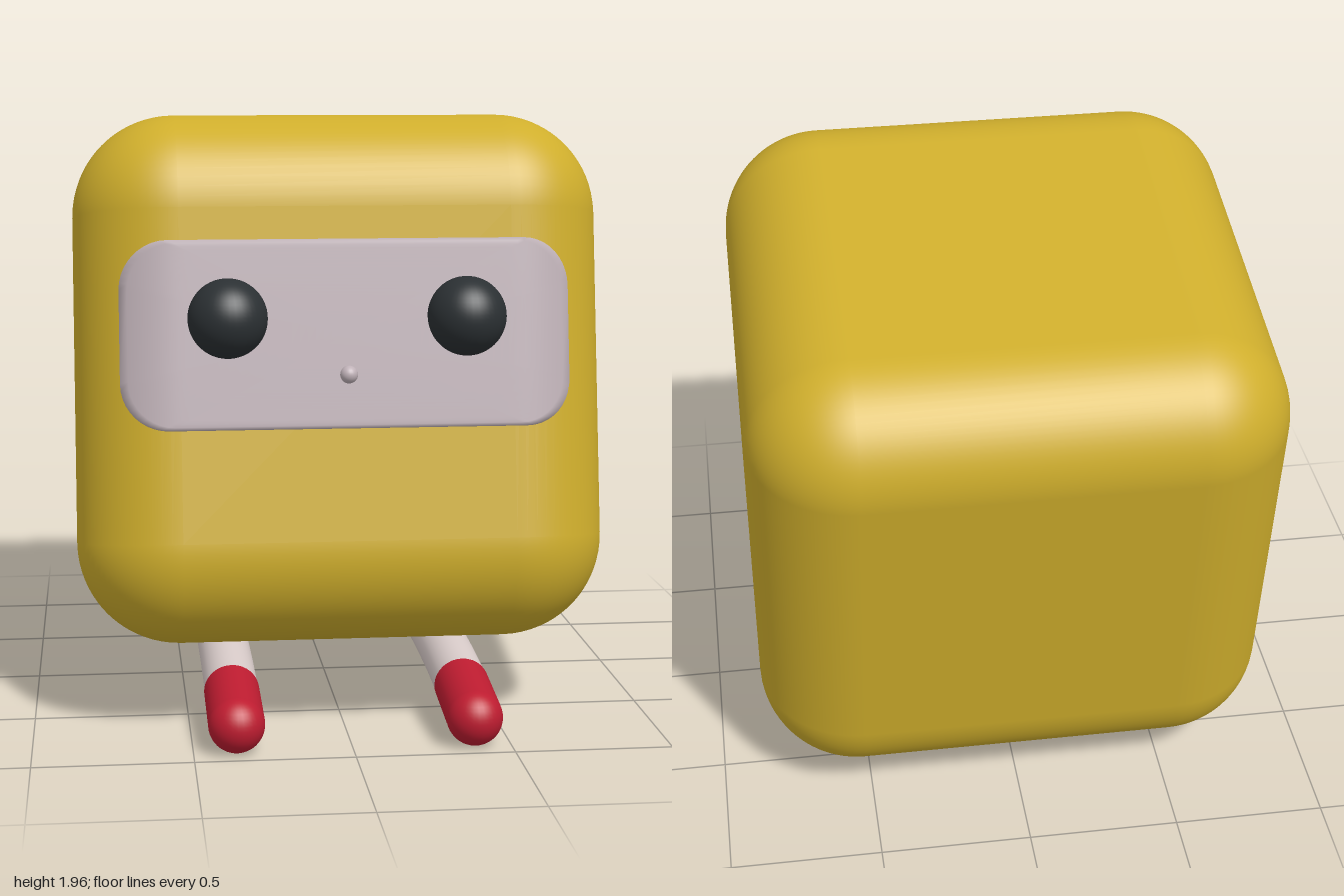
import * as THREE from 'three';
import { RoundedBoxGeometry } from 'three/addons/geometries/RoundedBoxGeometry.js';

const SIZE = 1.706, RADIUS = 0.33, HALF = SIZE / 2;
const material = (color) => new THREE.MeshStandardMaterial({ color });

// Depth of the body's front surface across its rounded sides
function frontDepth(x) {
  const d = Math.max(0, Math.abs(x) - (HALF - RADIUS));
  return HALF - RADIUS + Math.sqrt(RADIUS * RADIUS - d * d);
}

// Rounded rectangle plate wrapped over the body front, with a turned-in rim
function facePlateGeometry(halfW, halfH, corner, rings = 28) {
  const outline = [];
  const corners = [[1, 1], [-1, 1], [-1, -1], [1, -1]];
  corners.forEach(([sx, sy], q) => {
    for (let i = 0; i <= 10; i++) {
      const a = (q + i / 10) * Math.PI / 2;
      outline.push([sx * (halfW - corner) + corner * Math.cos(a), sy * (halfH - corner) + corner * Math.sin(a)]);
    }
  });
  const n = outline.length, pos = [], index = [];
  for (let r = 0; r <= rings + 1; r++) {
    const s = Math.min(r / rings, 1);
    for (const [x, y] of outline) {
      pos.push(x * s, y * s, frontDepth(x * s) + (r > rings ? -0.03 : 0.005));
    }
  }
  for (let r = 0; r <= rings; r++) {
    for (let i = 0; i < n; i++) {
      const a = r * n + i, b = r * n + (i + 1) % n;
      if (r > 0) index.push(a, b + n, b);
      index.push(a, a + n, b + n);
    }
  }
  const g = new THREE.BufferGeometry();
  g.setAttribute('position', new THREE.Float32BufferAttribute(pos, 3));
  g.setIndex(index);
  g.computeVertexNormals();
  return g;
}

export function createModel() {
  const model = new THREE.Group();
  const yellow = material(0xcfae2c), plateGrey = material(0xbfb1b7);
  const black = material(0x2b3033), pale = material(0xd8cbc9), red = material(0xbd1c30);

  const add = (parent, name, geometry, mat, x = 0, y = 0, z = 0) => {
    const mesh = new THREE.Mesh(geometry, mat);
    mesh.name = name;
    mesh.position.set(x, y, z);
    parent.add(mesh);
    return mesh;
  };

  // Body leaning back, with its face plate
  const torso = new THREE.Group();
  torso.name = 'torso';
  torso.position.set(0, 1.02, -0.065);
  torso.rotation.x = -THREE.MathUtils.degToRad(10);
  model.add(torso);
  add(torso, 'body', new RoundedBoxGeometry(SIZE, SIZE, SIZE, 10, RADIUS), yellow);
  add(torso, 'facePlate', facePlateGeometry(0.71, 0.296, 0.15), plateGrey, 0, 0.124, 0);

  // Eyes and nose
  for (const side of [-1, 1]) {
    add(model, side > 0 ? 'leftEye' : 'rightEye', new THREE.SphereGeometry(0.125, 40, 28), black, side * 0.375, 1.34, 0.745);
  }
  add(model, 'nose', new THREE.SphereGeometry(0.028, 24, 16), plateGrey, 0, 1.165, 0.782);

  // Legs reaching forward from under the body, with red feet
  const point = (y, z) => new THREE.Vector3(0, y, z);
  const legPath = new THREE.CatmullRomCurve3([
    point(0.122, 0.66), point(0.141, 0.4), point(0.15, 0.05), point(0.152, -0.3),
  ]);
  const footPath = new THREE.LineCurve3(point(0.089, 0.911), point(0.122, 0.655));
  for (const [name, x] of [['left', 0.385], ['right', -0.365]]) {
    const leg = new THREE.Group();
    leg.name = name + 'Leg';
    leg.position.x = x;
    model.add(leg);
    add(leg, 'shin', new THREE.TubeGeometry(legPath, 32, 0.086, 32), pale);
    add(leg, 'legEnd', new THREE.SphereGeometry(0.086, 32, 20), pale, 0, 0.152, -0.3);
    add(leg, 'foot', new THREE.TubeGeometry(footPath, 4, 0.089, 32), red);
    add(leg, 'toe', new THREE.SphereGeometry(0.089, 32, 20), red, 0, 0.089, 0.911);
  }
  return model;
}
